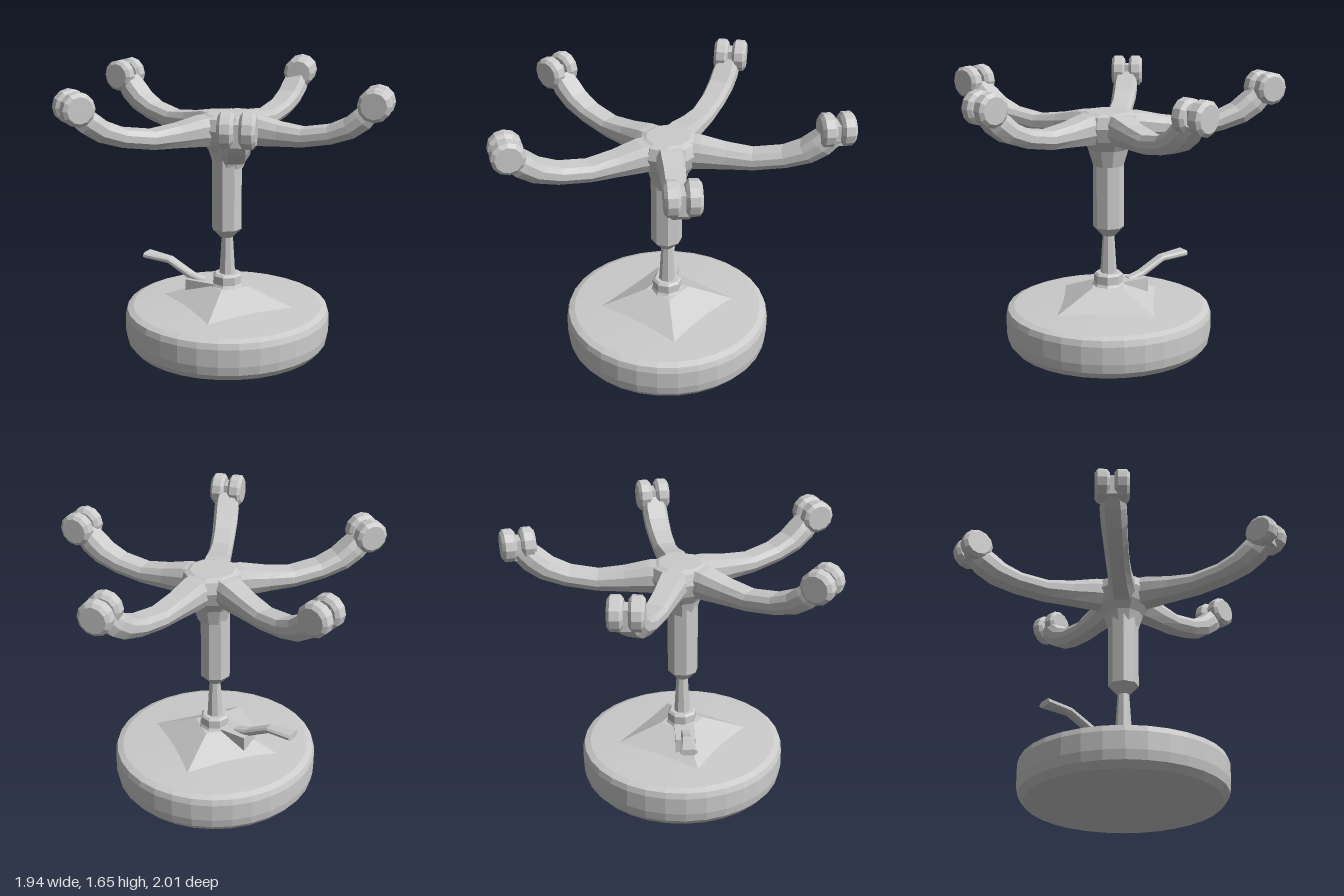
import * as THREE from 'three';

const material = new THREE.MeshStandardMaterial({ color: 0xcccccc, flatShading: true });
const CX = 0.052, CZ = 0.04; // shared vertical axis

function part(parent, name, geometry, x = 0, y = 0, z = 0) {
  const mesh = new THREE.Mesh(geometry, material);
  mesh.name = name;
  mesh.position.set(x, y, z);
  parent.add(mesh);
  return mesh;
}

function lathe(points, sides) {
  return new THREE.LatheGeometry(points.map(p => new THREE.Vector2(...p)), sides);
}

// Loft along +x. Each section: [bottom x, bottom y, top x, top y, half width]
const RING = [[-0.72, 1], [0.72, 1], [1, 0.72], [1, 0.35], [0.6, 0], [-0.6, 0], [-1, 0.35], [-1, 0.72]];
function loft(sections) {
  const n = RING.length, pos = [], index = [];
  for (const [bx, by, tx, ty, w] of sections)
    for (const [s, v] of RING) pos.push(bx + (tx - bx) * v, by + (ty - by) * v, s * w);
  for (let i = 0; i < sections.length - 1; i++)
    for (let j = 0; j < n; j++) {
      const a = i * n + j, b = i * n + (j + 1) % n;
      index.push(a, b, a + n, b, b + n, a + n);
    }
  const last = (sections.length - 1) * n;
  for (let j = 1; j < n - 1; j++) {
    index.push(0, j + 1, j);
    index.push(last, last + j, last + j + 1);
  }
  const g = new THREE.BufferGeometry();
  g.setAttribute('position', new THREE.Float32BufferAttribute(pos, 3));
  g.setIndex(index);
  g.computeVertexNormals();
  return g;
}

// Twin wheel caster, wheel faces pointing along (nx, nz)
function caster(x, z, nx, nz) {
  const g = new THREE.Group();
  g.name = 'caster';
  g.position.set(x, 1.557, z);
  g.rotation.y = Math.atan2(nx, nz);
  for (const s of [-1, 1]) {
    const profile = [[0, -0.042], [0.075, -0.042], [0.096, -0.025], [0.096, 0.025], [0.075, 0.042], [0, 0.042]];
    part(g, 'wheel', lathe(profile, 12).rotateX(Math.PI / 2), 0, 0, s * 0.055);
  }
  part(g, 'axleHousing', new THREE.BoxGeometry(0.1, 0.12, 0.06), 0, -0.02, 0);
  return g;
}

export function createModel() {
  const model = new THREE.Group();
  model.name = 'upturnedSwivelStool';

  // Round cushion lying on the ground
  part(model, 'cushion', lathe([
    [0, 0.005], [0.5, 0.005], [0.575, 0.025], [0.607, 0.065], [0.617, 0.12], [0.617, 0.225],
    [0.606, 0.26], [0.57, 0.275], [0.42, 0.285], [0, 0.31],
  ], 32), CX, 0, CZ);

  // Mounting plate and collar
  const plate = new THREE.CylinderGeometry(0.13, 0.43, 0.12, 4).rotateY(Math.PI / 4);
  part(model, 'mountingPlate', plate, CX, 0.335, CZ);
  part(model, 'collar', lathe([[0.12, 0.36], [0.088, 0.41], [0.088, 0.46], [0.075, 0.472], [0, 0.472]], 8), CX, 0, CZ);
  const bracket = part(model, 'leverBracket', new THREE.BoxGeometry(0.22, 0.1, 0.12), -0.035, 0.355, -0.07);
  bracket.rotation.y = -Math.atan2(-0.34, -0.23);

  // Height lever
  const lever = part(model, 'heightLever', loft([
    [0, 0.36, 0, 0.41, 0.03],
    [0.1, 0.395, 0.09, 0.435, 0.03],
    [0.25, 0.475, 0.24, 0.51, 0.034],
    [0.41, 0.487, 0.41, 0.525, 0.05],
  ]), -0.04, 0, -0.07);
  lever.rotation.y = -Math.atan2(-0.34, -0.23);

  // Gas lift: thin stem and thick column
  part(model, 'stem', new THREE.CylinderGeometry(0.034, 0.05, 0.26, 8), CX, 0.59, CZ);
  part(model, 'column', lathe([[0, 0.7], [0.04, 0.7], [0.092, 0.755], [0.092, 1.3]], 8), CX - 0.005, 0, CZ);

  // Flared hub
  part(model, 'hub', lathe([
    [0.09, 1.13], [0.12, 1.23], [0.16, 1.29], [0.185, 1.37], [0.165, 1.435], [0.13, 1.45], [0, 1.452],
  ], 10), CX + 0.01, 0, CZ);

  // Five curved legs: caster position and direction of the wheel faces
  const legs = [
    [-0.185, -0.875, 0.87, -0.5],
    [0.855, -0.445, 0.66, -0.75],
    [-0.868, -0.033, 0, 1],
    [-0.36, 0.885, 0.8, 0.58],
    [0.655, 0.66, -0.72, 0.7],
  ];
  const hx = CX + 0.01;
  for (const [x, z, nx, nz] of legs) {
    const k = Math.hypot(x - hx, z - CZ) / 0.92;
    const sections = [
      [0, 1.27, 0, 1.45, 0.09],
      [0.18, 1.275, 0.18, 1.44, 0.08],
      [0.32, 1.28, 0.32, 1.41, 0.07],
      [0.48, 1.285, 0.47, 1.39, 0.068],
      [0.66, 1.315, 0.63, 1.415, 0.07],
      [0.8, 1.36, 0.73, 1.46, 0.074],
      [0.89, 1.42, 0.79, 1.51, 0.075],
      [0.96, 1.5, 0.85, 1.56, 0.065],
    ].map(([a, b, c, d, w]) => [a * k, b, c * k, d, w]);
    const leg = part(model, 'leg', loft(sections), hx, 0, CZ);
    leg.rotation.y = -Math.atan2(z - CZ, x - hx);
    model.add(caster(x, z, nx, nz));
  }
  return model;
}
